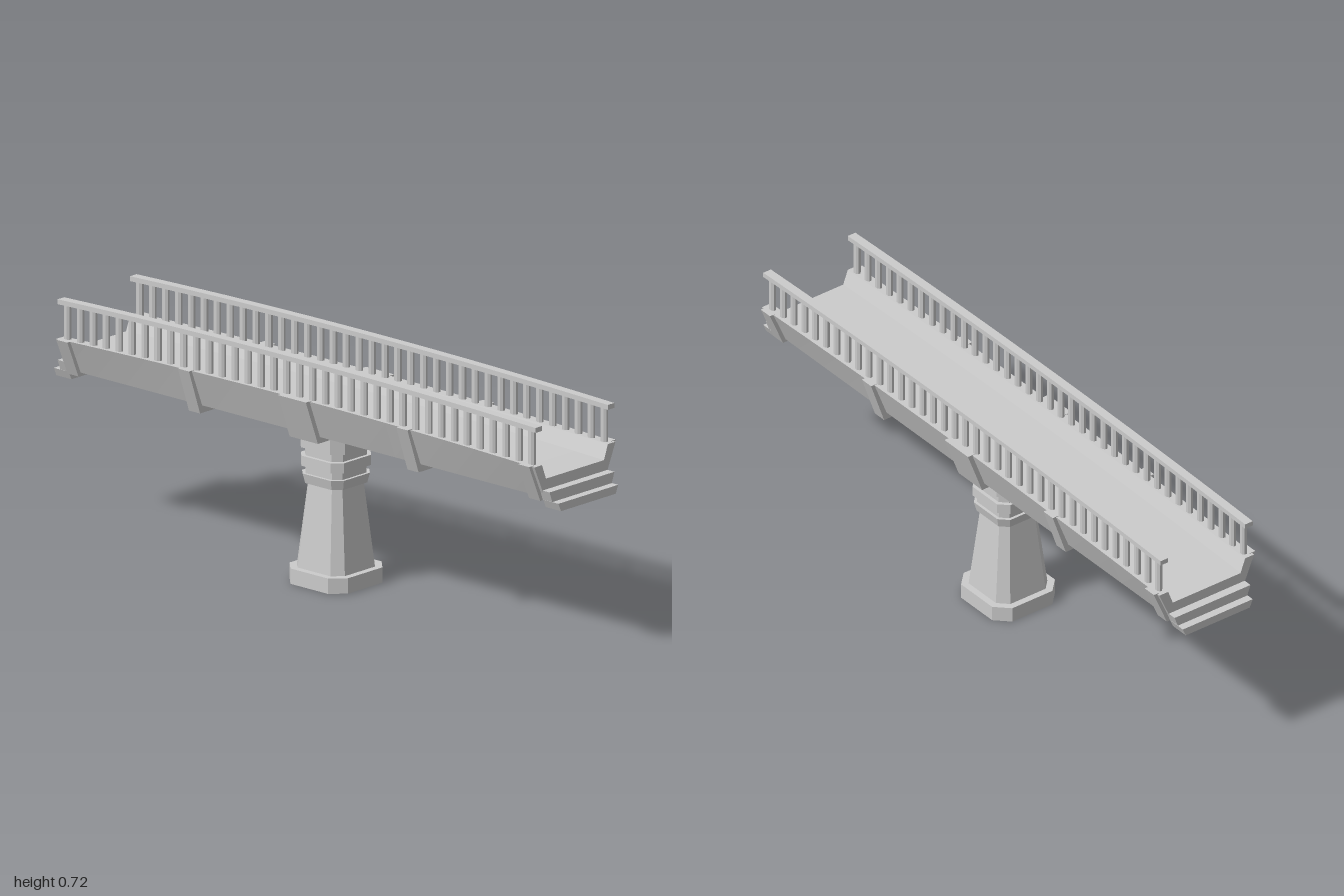
import * as THREE from 'three';

const material = new THREE.MeshStandardMaterial({ color: 0xcccccc, flatShading: true, side: THREE.DoubleSide });
const HALF = 0.947; // half length of the deck

// Gentle rise of the walkway towards the middle
const rise = (z) => 0.016 * Math.max(0, 1 - (z / HALF) ** 2);

function add(parent, name, geometry, x = 0, y = 0, z = 0) {
  const mesh = new THREE.Mesh(geometry, material);
  mesh.name = name;
  mesh.position.set(x, y, z);
  parent.add(mesh);
  return mesh;
}

// Extrude a symmetric outline, given by its right half, between two z values
function section(half, z0, z1, steps = 1) {
  const left = half.map(([x, y]) => [-x, y]).reverse();
  const shape = new THREE.Shape([...half, ...left].map(([x, y]) => new THREE.Vector2(x, y)));
  const geometry = new THREE.ExtrudeGeometry(shape, { depth: z1 - z0, steps, bevelEnabled: false });
  return geometry.translate(0, 0, z0);
}

// Arch every vertex lying above the given height
function arch(geometry, above) {
  const p = geometry.attributes.position;
  for (let i = 0; i < p.count; i++) {
    if (p.getY(i) > above) p.setY(i, p.getY(i) + rise(p.getZ(i)));
  }
  geometry.computeVertexNormals();
  return geometry;
}

// Square block with cut corners, each end given as [y, half width, half flat]
function chamferedBlock(bottom, top) {
  const ring = ([y, a, b]) => [[b, a], [a, b], [a, -b], [b, -a], [-b, -a], [-a, -b], [-a, b], [-b, a]]
    .map(([x, z]) => [x, y, z]);
  const lo = ring(bottom), hi = ring(top), v = [];
  for (let i = 0; i < 8; i++) {
    const j = (i + 1) % 8;
    v.push(lo[i], lo[j], hi[j], lo[i], hi[j], hi[i]);
    v.push([0, bottom[0], 0], lo[j], lo[i], [0, top[0], 0], hi[i], hi[j]);
  }
  const geometry = new THREE.BufferGeometry();
  geometry.setAttribute('position', new THREE.Float32BufferAttribute(v.flat(), 3));
  geometry.computeVertexNormals();
  return geometry;
}

export function createModel() {
  const model = new THREE.Group();
  model.name = 'bridge';

  // Pillar, from foot to capital
  const pillar = new THREE.Group();
  pillar.name = 'pillar';
  model.add(pillar);
  const blocks = [
    ['pillarBase', [0, 0.116, 0.074], [0.047, 0.116, 0.074]],
    ['pillarShaft', [0.047, 0.095, 0.065], [0.303, 0.068, 0.046]],
    ['lowerCollar', [0.303, 0.076, 0.052], [0.333, 0.083, 0.056]],
    ['lowerNeck', [0.333, 0.074, 0.052], [0.357, 0.074, 0.052]],
    ['middleCollar', [0.357, 0.086, 0.058], [0.388, 0.086, 0.058]],
    ['upperNeck', [0.388, 0.075, 0.052], [0.414, 0.075, 0.052]],
    ['capital', [0.414, 0.088, 0.058], [0.48, 0.088, 0.058]],
  ];
  for (const [name, lo, hi] of blocks) add(pillar, name, chamferedBlock(lo, hi));

  // Trough-shaped deck with sloping walls
  const trough = [[0.13, 0.478], [0.175, 0.58], [0.142, 0.58], [0.125, 0.535]];
  add(model, 'deck', arch(section(trough, -HALF, HALF, 16), 0.5));
  add(model, 'undersidePanel', new THREE.BoxGeometry(0.15, 0.016, 1.76), 0, 0.472, 0);

  // Stepped ledges at both ends
  for (const s of [-1, 1]) {
    const ledge = (name, half, z0, z1) =>
      add(model, name, section(half, Math.min(s * z0, s * z1), Math.max(s * z0, s * z1)));
    ledge('upperLedge', [[0.128, 0.47], [0.14, 0.502]], 0.92, 0.975);
    ledge('lowerLedge', [[0.118, 0.445], [0.129, 0.47]], 0.94, 1);
  }

  // Ribs wrapping the sides and underside: [z, half width, bottom, top]
  const ribs = [[0, 0.056, 0.459, 0.597], [0.433, 0.022, 0.455, 0.594], [-0.433, 0.022, 0.455, 0.594],
    [0.915, 0.022, 0.468, 0.582], [-0.915, 0.022, 0.468, 0.582]];
  for (const [z, w, lo, hi] of ribs) {
    const out = z === 0 ? 0.191 : 0.187;
    const half = [[0.139, lo], [out, hi], [0.166, hi], [0.128, 0.49]];
    add(model, 'rib', section(half, z - w, z + w));
  }

  // Railings with evenly spaced balusters
  const COUNT = 37;
  for (const s of [-1, 1]) {
    const railing = new THREE.Group();
    railing.name = s > 0 ? 'leftRailing' : 'rightRailing';
    model.add(railing);
    const rail = new THREE.BoxGeometry(0.028, 0.015, 2 * HALF, 1, 1, 16).translate(0, 0.692, 0);
    add(railing, 'handrail', arch(rail, 0), s * 0.156);
    const post = new THREE.CylinderGeometry(0.01, 0.01, 0.115, 8).rotateY(Math.PI / 8).scale(1, 1, 1.25);
    for (let i = 0; i < COUNT; i++) {
      const z = -0.92 + (1.84 * i) / (COUNT - 1);
      add(railing, 'baluster', post, s * 0.156, 0.632 + rise(z), z);
    }
  }
  return model;
}
